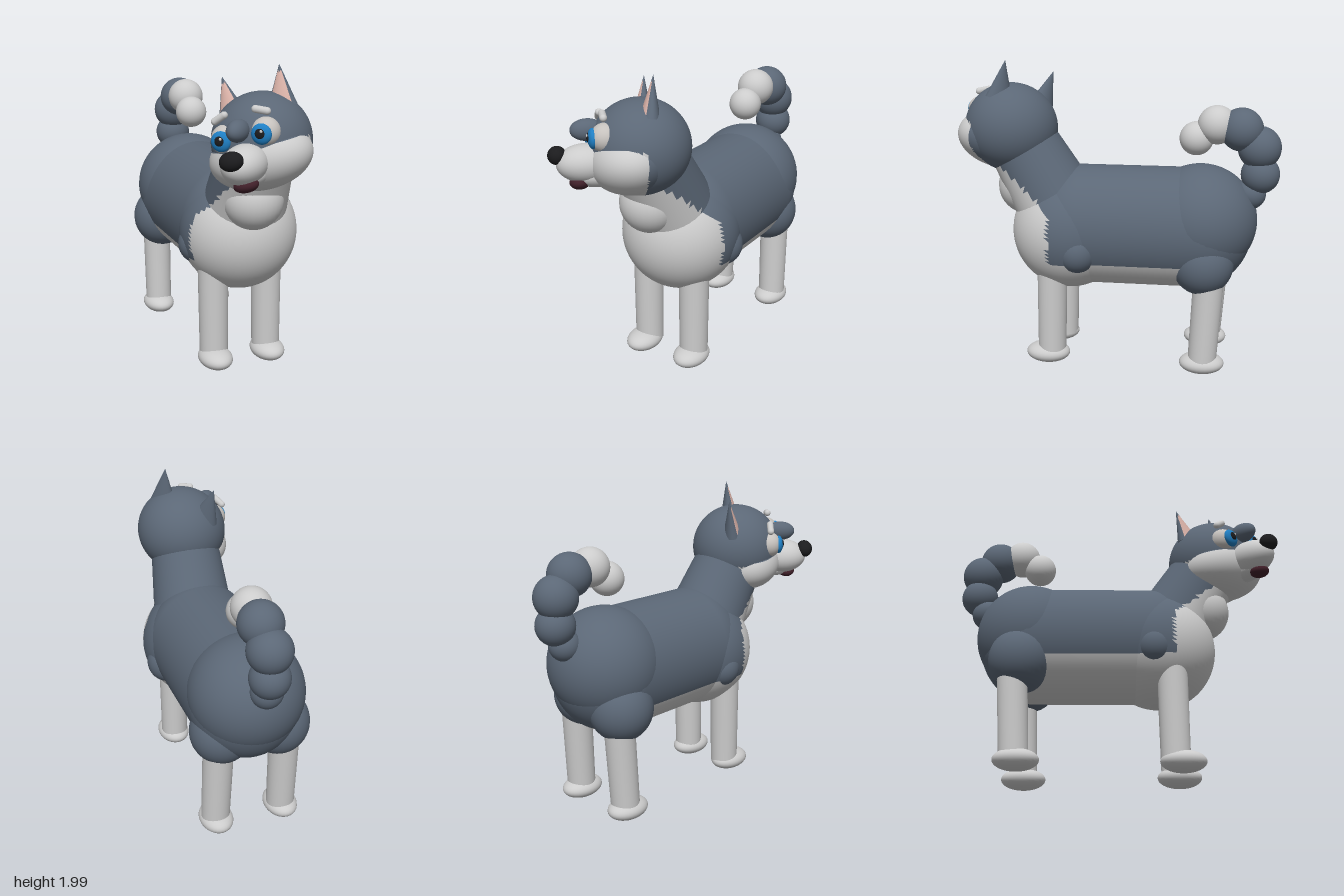
import * as THREE from 'three';

const material = (color) => new THREE.MeshStandardMaterial({ color });
const grey = material(0x5b6776), white = material(0xdcdcdc), pink = material(0xd8b0a6);
const black = material(0x1c1c1e), maroon = material(0x41202a), blue = material(0x1f7fc4);
const eyeWhite = material(0xc6c2be);

const YAW = 0.38; // body axis turned away from +x, towards +z
const along = (x, z) => x * Math.cos(YAW) + z * Math.sin(YAW);

// Ellipsoid geometry with centre, radii and a turn about y
function ball([x, y, z], [rx, ry, rz], yaw = 0, seg = 32) {
  return new THREE.SphereGeometry(1, seg, Math.round(seg * 0.7))
    .scale(rx, ry, rz).rotateY(yaw).translate(x, y, z);
}

// Tapered limb between two points
function limb(a, b, ra, rb, rows = 1) {
  const p = new THREE.Vector3(...a), q = new THREE.Vector3(...b);
  const dir = q.clone().sub(p);
  const geo = new THREE.CylinderGeometry(rb, ra, dir.length(), 40, rows);
  geo.applyQuaternion(new THREE.Quaternion().setFromUnitVectors(
    new THREE.Vector3(0, 1, 0), dir.clone().normalize()));
  return geo.translate(...p.add(q).multiplyScalar(0.5).toArray());
}

function add(parent, name, geo, mat) {
  const mesh = new THREE.Mesh(geo, mat);
  mesh.name = name;
  parent.add(mesh);
  return mesh;
}

// Splits the faces of a geometry into two colours by a rule on each face centre
function addPatched(parent, name, source, rule, inside, outside) {
  const geo = source.toNonIndexed(), pos = geo.attributes.position, nor = geo.attributes.normal;
  const sides = [{ p: [], n: [] }, { p: [], n: [] }];
  for (let i = 0; i < pos.count; i += 3) {
    const mid = (get) => (get(i) + get(i + 1) + get(i + 2)) / 3;
    const hit = rule(mid((k) => pos.getX(k)), mid((k) => pos.getY(k)), mid((k) => pos.getZ(k)));
    const side = sides[hit ? 0 : 1];
    for (let k = i; k < i + 3; k++) {
      side.p.push(pos.getX(k), pos.getY(k), pos.getZ(k));
      side.n.push(nor.getX(k), nor.getY(k), nor.getZ(k));
    }
  }
  sides.forEach(({ p, n }, i) => {
    if (!p.length) return;
    const part = new THREE.BufferGeometry();
    part.setAttribute('position', new THREE.Float32BufferAttribute(p, 3));
    part.setAttribute('normal', new THREE.Float32BufferAttribute(n, 3));
    add(parent, name + (i ? 'Coat' : 'Marking'), part, i ? outside : inside);
  });
}

function buildBody(dog) {
  // White belly and bib, grey back
  const bib = (x, y, z) => y < 0.74 || along(x, z) > 0.36 + Math.max(0, y - 1.05) * 1.2;
  const belly = (x, y, z) => y < 0.6 || (y < 0.74 && along(x, z) > -0.6);

  const barrel = new THREE.CapsuleGeometry(0.36, 0.75, 20, 64, 20)
    .rotateZ(-Math.PI / 2).scale(1, 1.085, 1).rotateY(-YAW).translate(-0.13, 0.925, -0.165);
  addPatched(dog, 'barrel', barrel, (x, y, z) => (along(x, z) > 0.2 ? bib : belly)(x, y, z), white, grey);
  addPatched(dog, 'rump', ball([-0.5, 0.975, -0.31], [0.365, 0.365, 0.365], 0, 56), belly, white, grey);
  addPatched(dog, 'chest', ball([0.29, 0.885, 0], [0.38, 0.385, 0.38], 0, 64), bib, white, grey);
  addPatched(dog, 'neck', limb([0.37, 1.05, 0.03], [0.63, 1.55, 0.17], 0.27, 0.22, 16), bib, white, grey);
  add(dog, 'throat', ball([0.55, 1.165, 0.14], [0.19, 0.19, 0.19]), white);
}

function buildLegs(dog) {
  // Top, ankle and paw centre [x, z]; muscle centre and radius
  const legs = [
    { name: 'frontRight', top: [0.285, 0.22], ankle: [0.295, 0.22], paw: [0.335, 0.245], muscle: [0.16, 0.81, 0.235], r: 0.125 },
    { name: 'frontLeft', top: [0.44, -0.11], ankle: [0.45, -0.11], paw: [0.475, -0.1], muscle: [0.31, 0.81, -0.265], r: 0.135 },
    { name: 'rearRight', top: [-0.675, -0.14], ankle: [-0.64, -0.12], paw: [-0.63, -0.11], muscle: [-0.62, 0.74, -0.15], r: 0.205 },
    { name: 'rearLeft', top: [-0.49, -0.53], ankle: [-0.455, -0.53], paw: [-0.455, -0.525], muscle: [-0.46, 0.74, -0.48], r: 0.2 },
  ];
  for (const { name, top, ankle, paw, muscle, r } of legs) {
    const leg = new THREE.Group();
    leg.name = name + 'Leg';
    add(leg, 'shank', limb([ankle[0], 0.07, ankle[1]], [top[0], 0.7, top[1]], 0.092, 0.098), white);
    add(leg, 'paw', ball([paw[0], 0.07, paw[1]], [0.145, 0.068, 0.108], -YAW), white);
    add(leg, 'muscle', ball(muscle, [r, r * 1.04, r]), grey);
    dog.add(leg);
  }
}

function buildTail(dog) {
  const tail = new THREE.Group();
  tail.name = 'tail';
  const beads = [
    [-0.79, 1.16, -0.43, 0.1], [-0.84, 1.29, -0.46, 0.123], [-0.83, 1.46, -0.455, 0.137],
    [-0.72, 1.575, -0.42, 0.137], [-0.58, 1.6, -0.355, 0.123], [-0.465, 1.51, -0.3, 0.108],
  ];
  beads.forEach(([x, y, z, r], i) => add(tail, 'tailBead', ball([x, y, z], [r, r, r]), i < 4 ? grey : white));
  dog.add(tail);
}

function buildHead(dog) {
  // Head faces its own +z, then is turned and tilted
  const head = new THREE.Group();
  head.name = 'head';
  head.rotation.set(0, 0.385, 0.26, 'YXZ');
  head.position.set(0.64, 1.55, 0.17);
  dog.add(head);

  addPatched(head, 'skull', ball([0, 0, 0], [0.3, 0.288, 0.3], 0, 64), (x, y, z) => y < -0.02 && z > 0, white, grey);
  addPatched(head, 'cheeks', ball([0, -0.085, 0.07], [0.315, 0.195, 0.245], 0, 64),
    (x, y, z) => y < 0 && z > 0, white, grey);

  // Muzzle
  add(head, 'snout', ball([0, -0.075, 0.32], [0.13, 0.115, 0.175]), white);
  add(head, 'chin', ball([0, -0.15, 0.26], [0.095, 0.07, 0.14]), white);
  add(head, 'mouth', ball([0, -0.185, 0.365], [0.075, 0.042, 0.06]), maroon);
  add(head, 'nose', ball([0, -0.022, 0.485], [0.07, 0.055, 0.055]), black);
  add(head, 'browBridge', ball([0, 0.115, 0.305], [0.06, 0.065, 0.1]), grey);

  for (const s of [-1, 1]) {
    // Eye
    const eye = new THREE.Group();
    eye.name = s > 0 ? 'leftEye' : 'rightEye';
    eye.position.set(s * 0.125, 0.07, 0.215);
    add(eye, 'eyeball', ball([0, 0, 0], [0.086, 0.086, 0.086]), eyeWhite);
    add(eye, 'iris', ball([0, 0, 0.07], [0.06, 0.06, 0.03]), blue);
    add(eye, 'pupil', ball([0, 0.005, 0.092], [0.03, 0.03, 0.014]), black);
    add(eye, 'glint', ball([0.014, 0.018, 0.103], [0.009, 0.009, 0.005], 0, 12), white);
    head.add(eye);

    // Eyebrow
    const brow = add(head, 'eyebrow', new THREE.CapsuleGeometry(0.022, 0.07, 8, 16).rotateZ(Math.PI / 2), white);
    brow.position.set(s * 0.13, 0.195, 0.222);
    brow.rotation.z = -s * 0.36;

    // Pointed ear with a pink inside
    const ear = new THREE.Group();
    ear.name = s > 0 ? 'leftEar' : 'rightEar';
    const cone = new THREE.ConeGeometry(0.09, 0.24, 40, 14).scale(1, 1, 0.65);
    addPatched(ear, 'ear', cone, (x, y, z) => {
      const r = 0.09 * (0.12 - y) / 0.24;
      return z > 0.4 * r && Math.abs(x) < 0.8 * r && y < 0.08 && y > -0.119;
    }, pink, grey);
    ear.position.set(s * 0.173, 0.29, -0.055);
    ear.rotation.set(-0.12, 0, -s * 0.1);
    head.add(ear);
  }
}

export function createModel() {
  const dog = new THREE.Group();
  dog.name = 'dog';
  buildBody(dog);
  buildLegs(dog);
  buildTail(dog);
  buildHead(dog);
  return dog;
}
